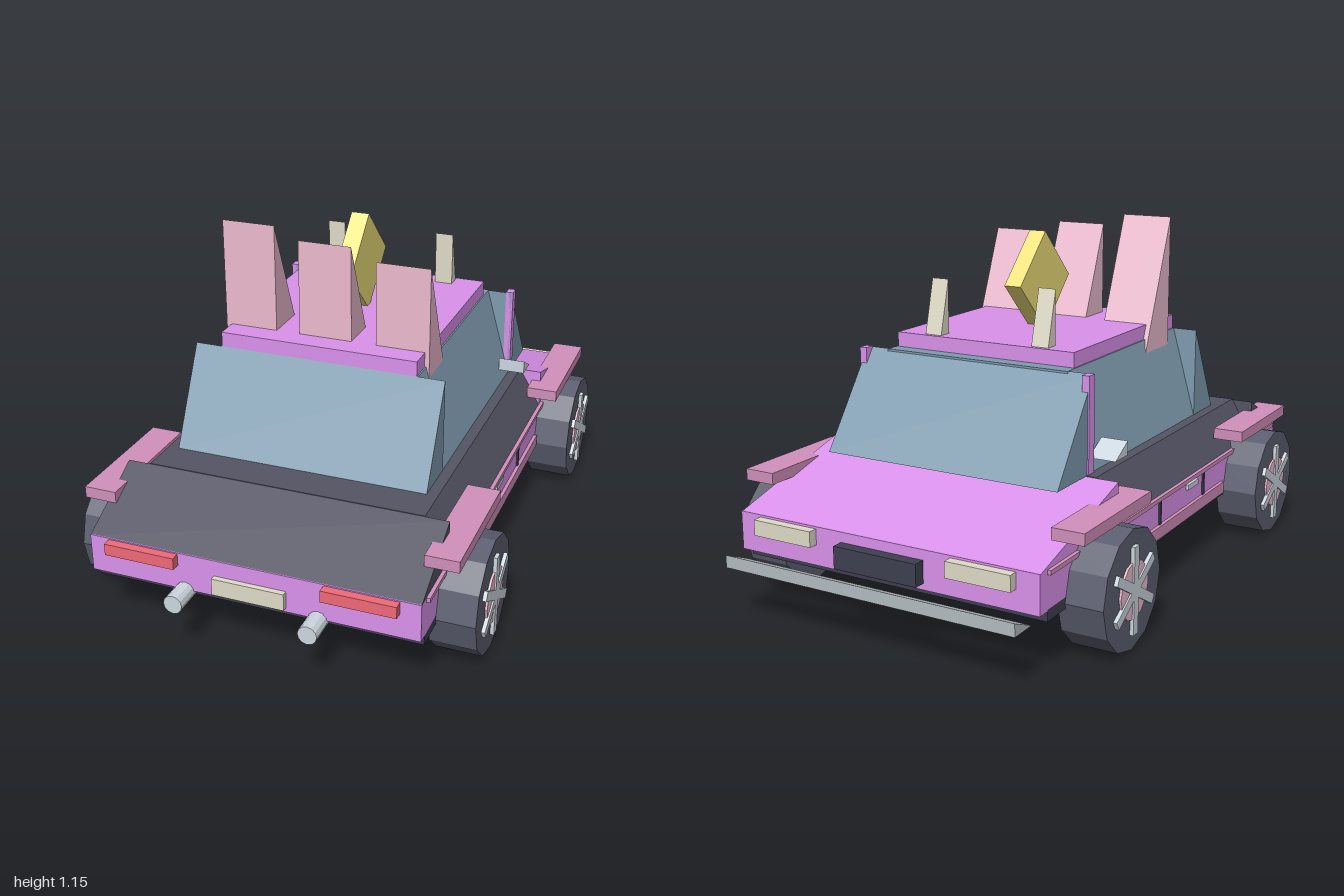
import * as THREE from 'three';

const mat = (color) => new THREE.MeshStandardMaterial({ color, flatShading: true });
const M = {
  paint: mat(0xdb92ec), dark: mat(0x555464), glass: mat(0x7f9cb0), tyre: mat(0x5c5f70),
  blush: mat(0xedbcd0), rose: mat(0xd190bc), yellow: mat(0xf2e27c), red: mat(0xf06a78),
  chrome: mat(0xced8e0), cream: mat(0xe0dcc8), black: mat(0x3e4050), wing: mat(0xb4bcc0),
};

export function createModel() {
  const car = new THREE.Group();
  car.name = 'car';

  const add = (name, geo, m, parent = car) => {
    const mesh = new THREE.Mesh(geo, m);
    mesh.name = name;
    parent.add(mesh);
    return mesh;
  };
  // Box from its minimum and maximum on each axis
  const box = (name, m, x0, x1, y0, y1, z0, z1) => {
    const geo = new THREE.BoxGeometry(x1 - x0, y1 - y0, z1 - z0);
    geo.translate((x0 + x1) / 2, (y0 + y1) / 2, (z0 + z1) / 2);
    return add(name, geo, m);
  };
  // The same box on both sides
  const pair = (name, m, x0, x1, ...rest) => {
    box(name + 'Left', m, x0, x1, ...rest);
    box(name + 'Right', m, -x1, -x0, ...rest);
  };
  const extrude = (pts, depth) => new THREE.ExtrudeGeometry(
    new THREE.Shape(pts.map(([a, b]) => new THREE.Vector2(a, b))), { depth, bevelEnabled: false });
  // Prism running across the car, section given as [z, y]
  const across = (name, m, x0, x1, pts) =>
    add(name, extrude(pts, x1 - x0).rotateY(-Math.PI / 2).translate(x1, 0, 0), m);
  // Prism running along the car, section given as [x, y]
  const along = (name, m, z0, z1, pts) => add(name, extrude(pts, z1 - z0).translate(0, 0, z0), m);

  // Floor and lower body
  box('chassis', M.black, -0.525, 0.525, 0.17, 0.205, -0.86, 0.89);
  box('lowerBody', M.paint, -0.525, 0.525, 0.2, 0.322, -0.9, 0.92);
  pair('sideTrim', M.rose, 0.52, 0.537, 0.308, 0.322, -0.86, 0.88);
  pair('sideSkirt', M.rose, 0.52, 0.537, 0.185, 0.225, -0.374, 0.39);

  // Upper body: sloping hood, sloping tail, leaning flanks
  across('hood', M.paint, -0.525, 0.525, [[-0.43, 0.32], [-0.43, 0.45], [-0.9, 0.32]]);
  across('tailSlope', M.dark, -0.525, 0.525, [[0.92, 0.32], [0.67, 0.45], [0.67, 0.32]]);
  along('upperBody', M.dark, -0.43, 0.67, [[-0.525, 0.32], [0.525, 0.32], [0.45, 0.452], [-0.45, 0.452]]);

  // Cabin: full-width end wedges around a body with leaning sides
  along('sideWindows', M.glass, -0.39, 0.39, [[-0.415, 0.45], [0.415, 0.45], [0.33, 0.755], [-0.33, 0.755]]);
  across('windscreen', M.glass, -0.415, 0.415, [[-0.385, 0.45], [-0.385, 0.755], [-0.605, 0.45]]);
  across('rearWindow', M.glass, -0.415, 0.415, [[0.39, 0.45], [0.55, 0.45], [0.39, 0.755]]);
  box('roof', M.paint, -0.325, 0.325, 0.75, 0.803, -0.34, 0.39);
  pair('windscreenPillar', M.paint, 0.395, 0.42, 0.45, 0.757, -0.42, -0.385);

  // Roof ornaments
  [[-0.255, 1.15], [-0.002, 1.112], [0.253, 1.074]].forEach(([x, top], i) => {
    across('roofFin' + (i + 1), M.blush, x - 0.087, x + 0.087,
      [[0.315, top - 0.44], [0.315, top], [0.135, top - 0.44]]);
  });
  const sign = add('roofDiamond', new THREE.BoxGeometry(0.06, 0.232, 0.232), M.yellow);
  sign.position.set(-0.003, 0.953, 0.003);
  sign.rotation.x = Math.PI / 4;

  // Mirrored small parts
  for (const s of [-1, 1]) {
    across('frontSpike', M.cream, s * 0.197 - 0.03, s * 0.197 + 0.03,
      [[-0.278, 0.8], [-0.278, 0.98], [-0.325, 0.8]]);
    across('doorMirror', M.chrome, s * 0.447 - 0.045, s * 0.447 + 0.045,
      [[-0.302, 0.495], [-0.302, 0.54], [-0.385, 0.495]]);
    const pipe = add('exhaustPipe', new THREE.CylinderGeometry(0.03, 0.03, 0.12, 12), M.chrome);
    pipe.rotation.x = Math.PI / 2;
    pipe.position.set(s * 0.213, 0.196, 0.94);
  }
  pair('doorHandle', M.chrome, 0.52, 0.534, 0.28, 0.298, 0.08, 0.165);
  for (const z of [0.222, -0.13])
    pair('doorSeam', M.black, 0.52, 0.53, 0.225, 0.305, z - 0.007, z + 0.007);
  pair('tailLight', M.red, 0.232, 0.462, 0.28, 0.318, 0.91, 0.948);
  pair('headLight', M.cream, 0.237, 0.45, 0.265, 0.315, -0.93, -0.89);
  box('rearPlate', M.cream, -0.115, 0.115, 0.215, 0.27, 0.915, 0.938);
  box('grille', M.black, -0.145, 0.145, 0.22, 0.29, -0.937, -0.89);
  across('frontWing', M.wing, -0.505, 0.505, [[-0.91, 0.175], [-1, 0.215], [-1, 0.175]]);

  // Wheel arches
  pair('rearFender', M.rose, 0.495, 0.6, 0.378, 0.415, 0.385, 0.813);
  pair('frontFender', M.rose, 0.495, 0.6, 0.378, 0.415, -0.787, -0.36);

  // Wheels with hub disc and three crossing bars
  for (const [end, z] of [['rear', 0.6], ['front', -0.573]]) {
    for (const s of [-1, 1]) {
      const wheel = new THREE.Group();
      wheel.name = end + (s > 0 ? 'LeftWheel' : 'RightWheel');
      wheel.position.set(0, 0.186, z);
      const disc = (name, r, x0, x1, m) => add(name,
        new THREE.CylinderGeometry(r, r, x1 - x0, 12).rotateZ(Math.PI / 2)
          .translate(s * (x0 + x1) / 2, 0, 0), m, wheel);
      disc('tyre', 0.186, 0.5, 0.645, M.tyre);
      disc('hub', 0.09, 0.6, 0.652, M.blush);
      for (let i = 0; i < 3; i++) {
        const spoke = add('spoke', new THREE.BoxGeometry(0.04, 0.27, 0.03), M.chrome, wheel);
        spoke.position.x = s * 0.637;
        spoke.rotation.x = i * Math.PI / 3;
      }
      car.add(wheel);
    }
  }
  return car;
}
